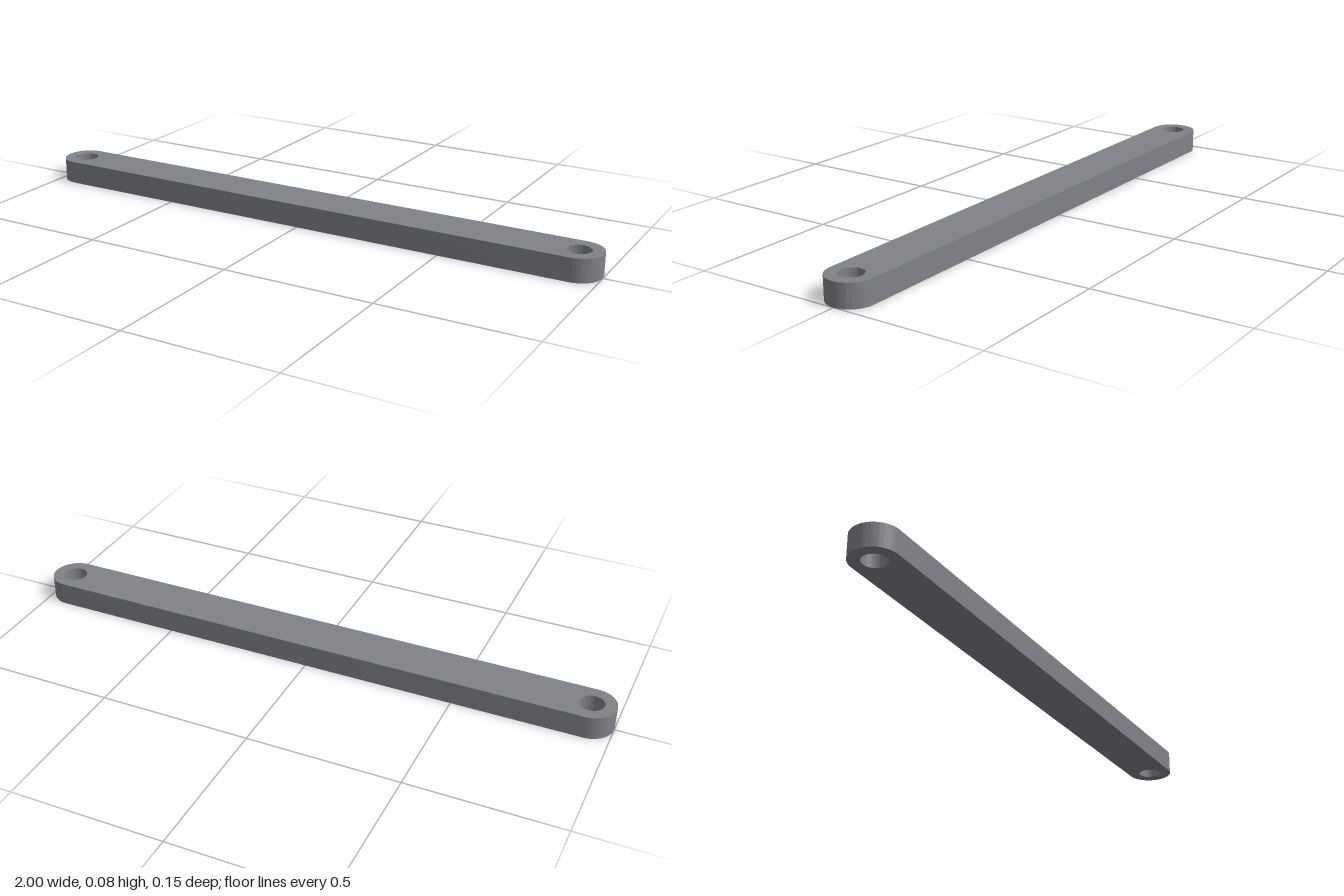
import * as THREE from 'three';
import { toCreasedNormals } from 'three/addons/utils/BufferGeometryUtils.js';

const RADIUS = 0.077; // rounded end radius
const HEIGHT = 0.077; // bar thickness
const HOLE = 0.039; // pin hole radius
const PIN = 1 - RADIUS; // pin hole distance from the centre

export function createModel() {
  const model = new THREE.Group();
  model.name = 'linkBar';

  // Outline: straight bar with a half circle at each end
  const outline = new THREE.Shape();
  outline.moveTo(-PIN, -RADIUS);
  outline.lineTo(PIN, -RADIUS);
  outline.absarc(PIN, 0, RADIUS, -Math.PI / 2, Math.PI / 2, false);
  outline.lineTo(-PIN, RADIUS);
  outline.absarc(-PIN, 0, RADIUS, Math.PI / 2, Math.PI * 1.5, false);

  // One through hole concentric with each end
  for (const side of [-1, 1]) {
    const hole = new THREE.Path();
    hole.absarc(side * PIN, 0, HOLE, 0, Math.PI * 2, true);
    outline.holes.push(hole);
  }

  // Extrude upward and smooth the curved walls, keeping the rims sharp
  const extruded = new THREE.ExtrudeGeometry(outline, {
    depth: HEIGHT,
    bevelEnabled: false,
    curveSegments: 64,
  });
  extruded.rotateX(-Math.PI / 2);
  const geometry = toCreasedNormals(extruded, Math.PI / 6);

  // Dark steel grey
  const bar = new THREE.Mesh(geometry, new THREE.MeshStandardMaterial({ color: 0x818188 }));
  bar.name = 'barWithPinHoles';
  model.add(bar);
  return model;
}
